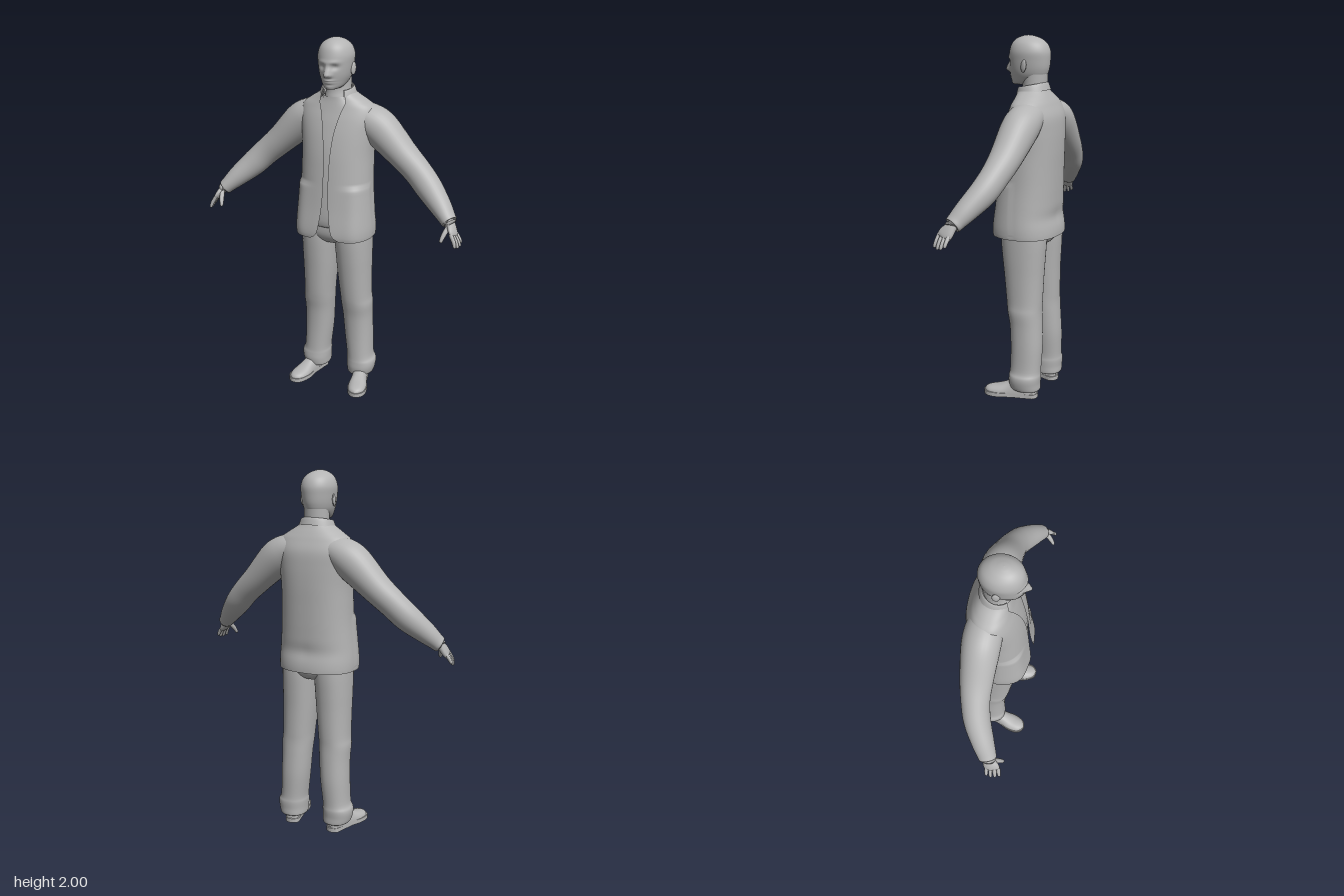
import * as THREE from 'three';

const { sin, cos, PI, exp, abs, sign, min, max, pow } = Math;

const grey = new THREE.MeshStandardMaterial({ color: 0xb4b4b4, side: THREE.DoubleSide });
grey.name = 'plain grey';

// Grid surface from fn(u, v) -> [x, y, z]; wrap joins the first and last columns.
function surface(fn, nu, nv, wrap = true) {
  const pos = [], index = [], cols = wrap ? nu : nu + 1;
  for (let j = 0; j <= nv; j++)
    for (let i = 0; i < cols; i++) pos.push(...fn(i / nu, j / nv));
  for (let j = 0; j < nv; j++)
    for (let i = 0; i < nu; i++) {
      const a = j * cols + i, b = j * cols + (i + 1) % cols, c = a + cols, d = b + cols;
      index.push(a, c, b, b, c, d);
    }
  const g = new THREE.BufferGeometry();
  g.setAttribute('position', new THREE.Float32BufferAttribute(pos, 3));
  g.setIndex(index);
  g.computeVertexNormals();
  return g;
}

// Smooth interpolation through a few rows of numbers.
function sample(rows, t) {
  const f = t * (rows.length - 1), i = min(Math.floor(f), rows.length - 2), k = f - i;
  const row = n => rows[max(0, min(rows.length - 1, n))];
  return rows[0].map((_, c) => {
    const [p0, p1, p2, p3] = [row(i - 1)[c], row(i)[c], row(i + 1)[c], row(i + 2)[c]];
    return p1 + 0.5 * k * (p2 - p0 + k * (2 * p0 - 5 * p1 + 4 * p2 - p3 + k * (3 * (p1 - p2) + p3 - p0)));
  });
}

const round = (v, n) => sign(v) * pow(abs(v), 2 / n);

// Upright loft; rows are [y, centre x, centre z, radius x, radius z].
function loft(rows, nu, nv, n = 2, bend = p => p) {
  return surface((u, v) => {
    const [y, cx, cz, rx, rz] = sample(rows, v), a = u * 2 * PI;
    return bend([cx + rx * round(cos(a), n), y, cz + rz * round(sin(a), n)]);
  }, nu, nv);
}

// Limb along a path; rows are [x, y, z, radius across, radius in z].
function limb(rows, nu, nv) {
  const at = t => new THREE.Vector3(...sample(rows, t).slice(0, 3));
  return surface((u, v) => {
    const s = sample(rows, v), a = u * 2 * PI;
    const t = at(min(1, v + 0.02)).sub(at(max(0, v - 0.02))).normalize();
    const across = t.clone().cross(new THREE.Vector3(0, 0, 1)).normalize();
    const deep = across.clone().cross(t);
    const p = new THREE.Vector3(s[0], s[1], s[2])
      .addScaledVector(across, s[3] * cos(a)).addScaledVector(deep, s[4] * sin(a));
    return [p.x, p.y, p.z];
  }, nu, nv);
}

function mirrored(g) {
  const m = g.index ? g.toNonIndexed() : g.clone();
  for (const key of ['position', 'normal']) {
    const a = m.attributes[key];
    for (let i = 0; i < a.count; i += 3) {
      const v = [0, 1, 2].map(k => [-a.getX(i + k), a.getY(i + k), a.getZ(i + k)]);
      [0, 2, 1].forEach((s, k) => a.setXYZ(i + k, ...v[s]));
    }
  }
  return m;
}

export function createModel() {
  const model = new THREE.Group();
  model.name = 'standingMan';
  const add = (name, g) => {
    const m = new THREE.Mesh(g, grey);
    m.name = name;
    model.add(m);
  };
  const pair = (name, g) => {
    add(name + 'Left', g);
    add(name + 'Right', mirrored(g));
  };

  // Head, with the face shaped by soft bumps on the front
  const hill = (d, s) => exp(-d * d / (2 * s * s));
  const face = ([x, y, z]) => {
    if (z > 0.03) {
      const front = min(1, (z - 0.03) / 0.05);
      z += front * (0.03 * hill(x, 0.011) * hill(y - 1.82, y > 1.82 ? 0.026 : 0.009)
        + 0.008 * hill(abs(x) - 0.014, 0.007) * hill(y - 1.817, 0.008)
        - 0.012 * hill(abs(x) - 0.035, 0.014) * hill(y - 1.86, 0.011)
        + 0.005 * hill(abs(x) - 0.03, 0.025) * hill(y - 1.883, 0.008)
        + 0.008 * hill(x, 0.02) * hill(y - 1.79, 0.005)
        + 0.007 * hill(x, 0.02) * hill(y - 1.778, 0.005)
        - 0.003 * hill(x, 0.026) * hill(y - 1.784, 0.002)
        + 0.007 * hill(x, 0.02) * hill(y - 1.754, 0.009));
    }
    return [x, y, z];
  };
  add('head', loft([
    [1.745, 0, 0.03, 0.001, 0.001], [1.742, 0, 0.045, 0.028, 0.04], [1.755, 0, 0.028, 0.052, 0.066],
    [1.785, 0, 0.004, 0.071, 0.098], [1.82, 0, -0.002, 0.083, 0.11], [1.87, 0, -0.004, 0.091, 0.115],
    [1.915, 0, -0.006, 0.094, 0.113], [1.955, 0, -0.004, 0.081, 0.098], [1.982, 0, 0, 0.055, 0.068],
    [1.996, 0, 0.003, 0.024, 0.03], [2, 0, 0.004, 0.001, 0.001]], 56, 90, 2, face));
  add('neck', loft([
    [1.62, 0, -0.03, 0.085, 0.075], [1.68, 0, -0.027, 0.072, 0.07], [1.73, 0, -0.035, 0.068, 0.066],
    [1.8, 0, -0.035, 0.068, 0.07]], 32, 10));
  const ear = new THREE.SphereGeometry(1, 16, 12).scale(0.009, 0.034, 0.019);
  ear.rotateY(-0.35).rotateX(-0.15).translate(0.092, 1.843, -0.014);
  pair('ear', ear);

  // Shirt under the jacket
  add('shirt', loft([
    [1.0, 0, -0.02, 0.12, 0.09], [1.0, 0, -0.015, 0.19, 0.145], [1.2, 0, -0.02, 0.185, 0.148],
    [1.4, 0, -0.03, 0.185, 0.14], [1.54, 0, -0.045, 0.19, 0.126], [1.62, 0, -0.045, 0.17, 0.104],
    [1.67, 0, -0.035, 0.105, 0.082], [1.695, 0, -0.03, 0.076, 0.073]], 48, 40, 2.2));

  // Jacket body, open at the front; rows are [y, radius x, front z, back z, half opening]
  const jacketRows = [
    [0.93, 0.218, 0.165, -0.185, 0.085], [0.955, 0.22, 0.168, -0.185, 0.05], [1.0, 0.219, 0.165, -0.182, 0.034],
    [1.1, 0.21, 0.152, -0.176, 0.02], [1.2, 0.202, 0.142, -0.178, 0.014], [1.3, 0.199, 0.133, -0.18, 0.014],
    [1.4, 0.199, 0.122, -0.182, 0.018], [1.5, 0.208, 0.104, -0.18, 0.028], [1.58, 0.217, 0.082, -0.172, 0.044],
    [1.64, 0.203, 0.06, -0.148, 0.062], [1.675, 0.158, 0.05, -0.13, 0.075], [1.705, 0.11, 0.045, -0.112, 0.07],
    [1.725, 0.085, 0.04, -0.1, 0.06]];
  add('jacket', surface((u, v) => {
    let [y, rx, zf, zb, gap] = sample(jacketRows, v);
    const n = 2.3, g = Math.asin(pow(min(1, gap / rx), n / 2));
    const a = PI / 2 + g + u * (2 * PI - 2 * g);
    let x = rx * round(cos(a), n), z = (zf + zb) / 2 + (zf - zb) / 2 * round(sin(a), n);
    // patch pockets swelling on the front corners
    const swell = z > 0 && y < 1.23 ? 0.013 * hill(abs(x) - 0.16, 0.04) * min(1, (1.23 - y) / 0.012) : 0;
    // soft dip in the small of the back above the hem
    if (z < -0.05) z += 0.012 * hill(y - 1.04, 0.03) * (1 - abs(x) / 0.25);
    return [x + sign(x) * swell * 0.5, y, z + swell];
  }, 96, 80, false));

  // Folded collar, higher at the nape
  add('collar', surface((u, v) => {
    const a = PI / 2 + 0.75 + u * (2 * PI - 1.5), f = (1 + sin(a)) / 2;
    const top = 1.757 - 0.03 * f;
    const [r, y] = sample([[0.086, 1.69 - 0.02 * f], [0.08, top - 0.012], [0.084, top],
      [0.092, top - 0.008], [0.103 + 0.008 * f, top - 0.04 - 0.05 * f * f]], v);
    return [r * cos(a), y, -0.025 + r * sin(a) * 0.9];
  }, 48, 12, false));

  // Sleeves
  pair('sleeve', limb([
    [0.1, 1.595, -0.06, 0.07, 0.085], [0.165, 1.57, -0.06, 0.09, 0.097], [0.235, 1.522, -0.06, 0.1, 0.098],
    [0.36, 1.405, -0.053, 0.082, 0.085], [0.45, 1.325, -0.04, 0.075, 0.074], [0.525, 1.252, -0.015, 0.072, 0.07],
    [0.605, 1.178, 0.03, 0.058, 0.06], [0.652, 1.131, 0.06, 0.045, 0.051], [0.671, 1.112, 0.07, 0.04, 0.046],
    [0.67, 1.114, 0.07, 0.025, 0.03]], 32, 54));

  // Hands
  pair('palm', limb([
    [0.655, 1.135, 0.06, 0.024, 0.03], [0.678, 1.105, 0.075, 0.022, 0.032], [0.695, 1.078, 0.092, 0.019, 0.042],
    [0.706, 1.058, 0.104, 0.014, 0.04], [0.71, 1.05, 0.108, 0.003, 0.025]], 20, 16));
  const tips = [[0.741, 1.012, 0.078], [0.742, 1.0, 0.101], [0.737, 0.997, 0.124], [0.728, 1.003, 0.146]];
  tips.forEach(([x, y, z], i) => {
    const base = [0.7 - i * 0.001, 1.07, 0.072 + i * 0.02];
    const part = (t, r) => [base[0] + (x - base[0]) * t + 0.004 * sin(t * PI), base[1] + (y - base[1]) * t,
      base[2] + (z - base[2]) * t, r, r];
    pair('finger' + (i + 1), limb([part(0, 0.011), part(0.5, 0.0105), part(0.9, 0.008), part(1, 0.001)], 10, 12));
  });
  pair('thumb', limb([
    [0.675, 1.1, 0.095, 0.012, 0.014], [0.664, 1.07, 0.122, 0.013, 0.014], [0.656, 1.045, 0.14, 0.011, 0.011],
    [0.652, 1.028, 0.148, 0.008, 0.008], [0.651, 1.023, 0.15, 0.001, 0.001]], 12, 14));

  // Trousers
  add('hips', loft([
    [0.87, 0, -0.03, 0.01, 0.04], [0.885, 0, -0.025, 0.08, 0.1], [0.93, 0, -0.02, 0.19, 0.13],
    [1.0, 0, -0.018, 0.2, 0.135], [1.1, 0, -0.02, 0.185, 0.13]], 40, 20, 2.3));
  pair('trouserLeg', loft([
    [0.07, 0.135, -0.045, 0.05, 0.06], [0.05, 0.138, -0.05, 0.072, 0.083], [0.09, 0.143, -0.046, 0.081, 0.09],
    [0.13, 0.143, -0.048, 0.083, 0.091], [0.17, 0.136, -0.048, 0.075, 0.088], [0.3, 0.126, -0.05, 0.08, 0.09],
    [0.42, 0.12, -0.044, 0.083, 0.091], [0.5, 0.118, -0.035, 0.088, 0.096], [0.56, 0.113, -0.031, 0.087, 0.101],
    [0.7, 0.106, -0.025, 0.093, 0.111], [0.8, 0.103, -0.022, 0.097, 0.12], [0.9, 0.1, -0.02, 0.1, 0.128],
    [1.0, 0.098, -0.018, 0.1, 0.13]], 36, 60, 2.2));

  // Shoes, splayed outward
  const place = g => g.rotateY(0.24).translate(0.153, 0, 0);
  const outline = [[0, -0.122], [0.036, -0.105], [0.042, -0.05], [0.046, 0.03], [0.058, 0.1], [0.046, 0.165], [0.005, 0.19],
    [-0.035, 0.17], [-0.053, 0.1], [-0.042, 0.03], [-0.04, -0.05], [-0.036, -0.105]];
  const curve = new THREE.CatmullRomCurve3(outline.map(([x, z]) => new THREE.Vector3(x, -z, 0)), true);
  const sole = new THREE.ExtrudeGeometry(
    new THREE.Shape(curve.getPoints(48).slice(0, -1).map(p => new THREE.Vector2(p.x, p.y))),
    { depth: 0.024, bevelEnabled: false });
  pair('sole', place(sole.rotateX(-PI / 2)));
  // rows are [z, half width, top height]
  const upper = [[-0.116, 0.004, 0.03], [-0.106, 0.03, 0.075], [-0.06, 0.039, 0.11], [0.0, 0.043, 0.108],
    [0.05, 0.047, 0.082], [0.1, 0.053, 0.062], [0.15, 0.045, 0.05], [0.175, 0.026, 0.04], [0.186, 0.003, 0.026]];
  pair('shoeUpper', place(surface((u, v) => {
    const [z, w, h] = sample(upper, v), a = -u * 2 * PI;
    return [w * round(cos(a), 2.4) + 0.002, 0.02 + (h - 0.02) * max(0, sin(a)), z];
  }, 32, 32)));

  return model;
}
